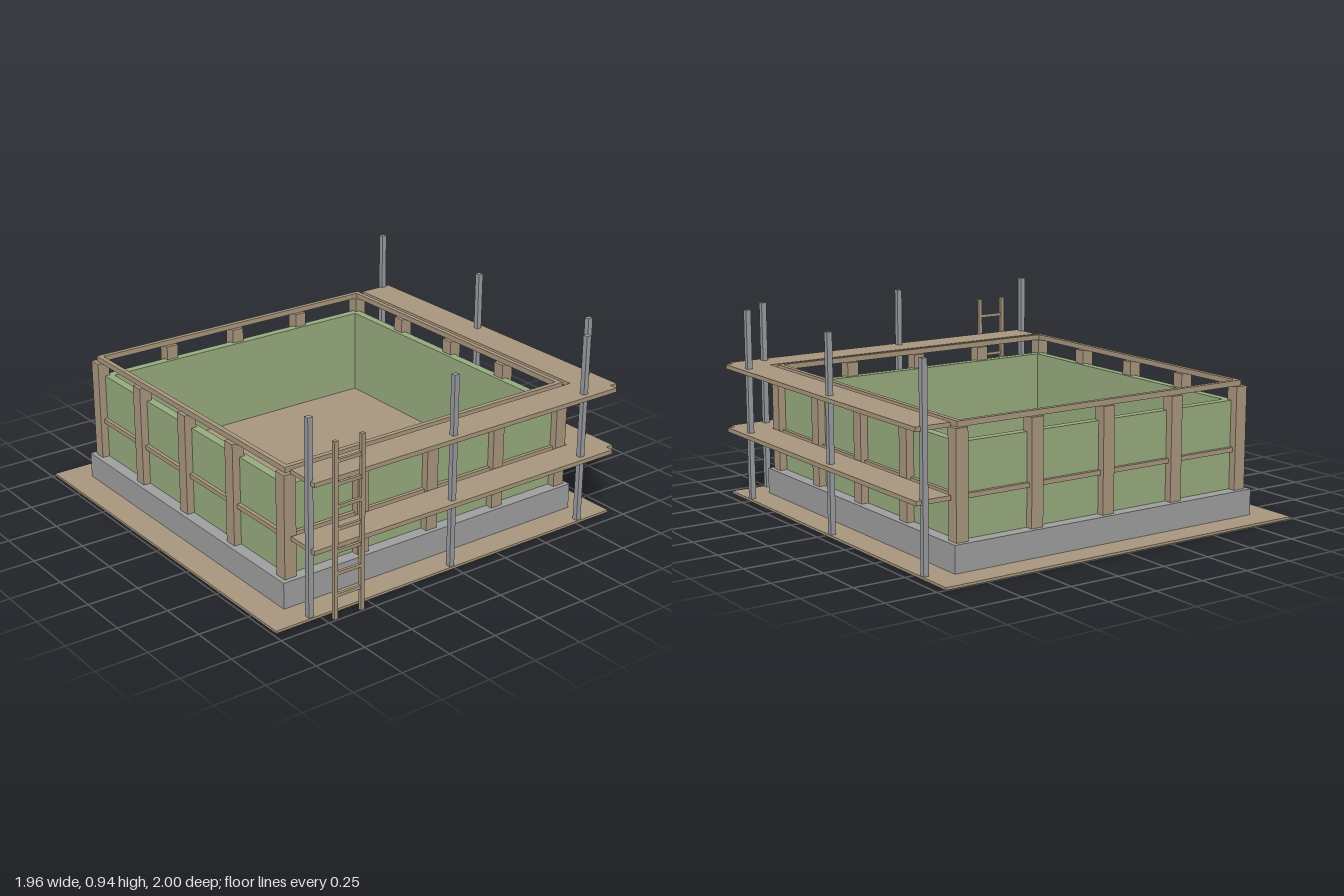
import * as THREE from 'three';

const mat = (name, color) => new THREE.MeshStandardMaterial({ name, color });

export function createModel() {
  const model = new THREE.Group();
  model.name = 'scaffoldedBasin';
  const wood = mat('wood', 0xa8967d);
  const green = mat('greenPanel', 0x97ab7d);
  const concrete = mat('concrete', 0x9e9e9e);
  const steel = mat('steel', 0x989ba0);

  // The square building sits slightly off centre
  const cx = -0.014, cz = -0.03;

  const box = (name, m, x0, x1, y0, y1, z0, z1, parent = model) => {
    const mesh = new THREE.Mesh(new THREE.BoxGeometry(x1 - x0, y1 - y0, z1 - z0), m);
    mesh.position.set((x0 + x1) / 2, (y0 + y1) / 2, (z0 + z1) / 2);
    mesh.name = name;
    parent.add(mesh);
    return mesh;
  };

  // Flat outline raised from y0 to y1
  const slab = (name, m, shape, y0, y1) => {
    const geo = new THREE.ExtrudeGeometry(shape, { depth: y1 - y0, bevelEnabled: false });
    geo.rotateX(-Math.PI / 2);
    const mesh = new THREE.Mesh(geo, m);
    mesh.position.y = y0;
    mesh.name = name;
    model.add(mesh);
    return mesh;
  };
  const square = h => [[-h, -h], [h, -h], [h, h], [-h, h]].map(([x, y]) => new THREE.Vector2(x, y));

  // Square ring around the building's centre
  const ring = (name, m, outer, inner, y0, y1) => {
    const shape = new THREE.Shape(square(outer));
    shape.holes.push(new THREE.Path(square(inner).reverse()));
    const mesh = slab(name, m, shape, y0, y1);
    mesh.position.x = cx;
    mesh.position.z = cz;
  };

  // Base, foundation, floor and walls
  ring('groundSlab', wood, 0.97, 0.836, 0, 0.012);
  ring('foundation', concrete, 0.836, 0.735, 0, 0.138);
  box('floor', wood, cx - 0.735, cx + 0.735, 0, 0.135, cz - 0.735, cz + 0.735);
  ring('walls', green, 0.777, 0.735, 0.138, 0.565);

  // Timber frame: posts on all four sides, with a middle and a top rail
  const span = 0.783, half = 0.031;
  for (let i = 0; i < 5; i++) {
    for (let j = 0; j < 5; j++) {
      if (i % 4 && j % 4) continue;
      const x = cx + span * (i / 2 - 1), z = cz + span * (j / 2 - 1);
      box('post', wood, x - half, x + half, 0.138, 0.634, z - half, z + half);
    }
  }
  ring('middleRail', wood, span + 0.012, span - 0.012, 0.32, 0.342);
  ring('topRail', wood, span + 0.012, span - 0.012, 0.634, 0.66);

  // L-shaped walkways along the front and left sides, notched at the corner
  const deck = [[-0.797, 0.96], [0.94, 0.96], [0.94, 0.92], [0.98, 0.92],
    [0.98, -0.812], [0.805, -0.812], [0.805, 0.79], [-0.797, 0.79]];
  for (const [name, y] of [['lowerWalkway', 0.32], ['upperWalkway', 0.636]]) {
    slab(name, wood, new THREE.Shape(deck.map(([x, z]) => new THREE.Vector2(x, -z))), y, y + 0.021);
  }

  // Scaffold poles
  const poles = [-1, 0, 1].flatMap(k => [[cx + span * k, 0.921], [0.94, cz + span * k]]);
  for (const [x, z] of poles) {
    box('scaffoldPole', steel, x - 0.013, x + 0.013, 0.006, 0.945, z - 0.013, z + 0.013);
  }

  // Ladder in front of the walkway
  const ladder = new THREE.Group();
  ladder.name = 'ladder';
  model.add(ladder);
  for (const x of [-0.713, -0.571]) {
    box('ladderRail', wood, x - 0.01, x + 0.01, 0.004, 0.84, 0.982, 1, ladder);
  }
  for (let i = 0; i < 7; i++) {
    const y = 0.117 + i * 0.105;
    box('rung', wood, -0.703, -0.581, y - 0.008, y + 0.008, 0.984, 0.998, ladder);
  }
  return model;
}
